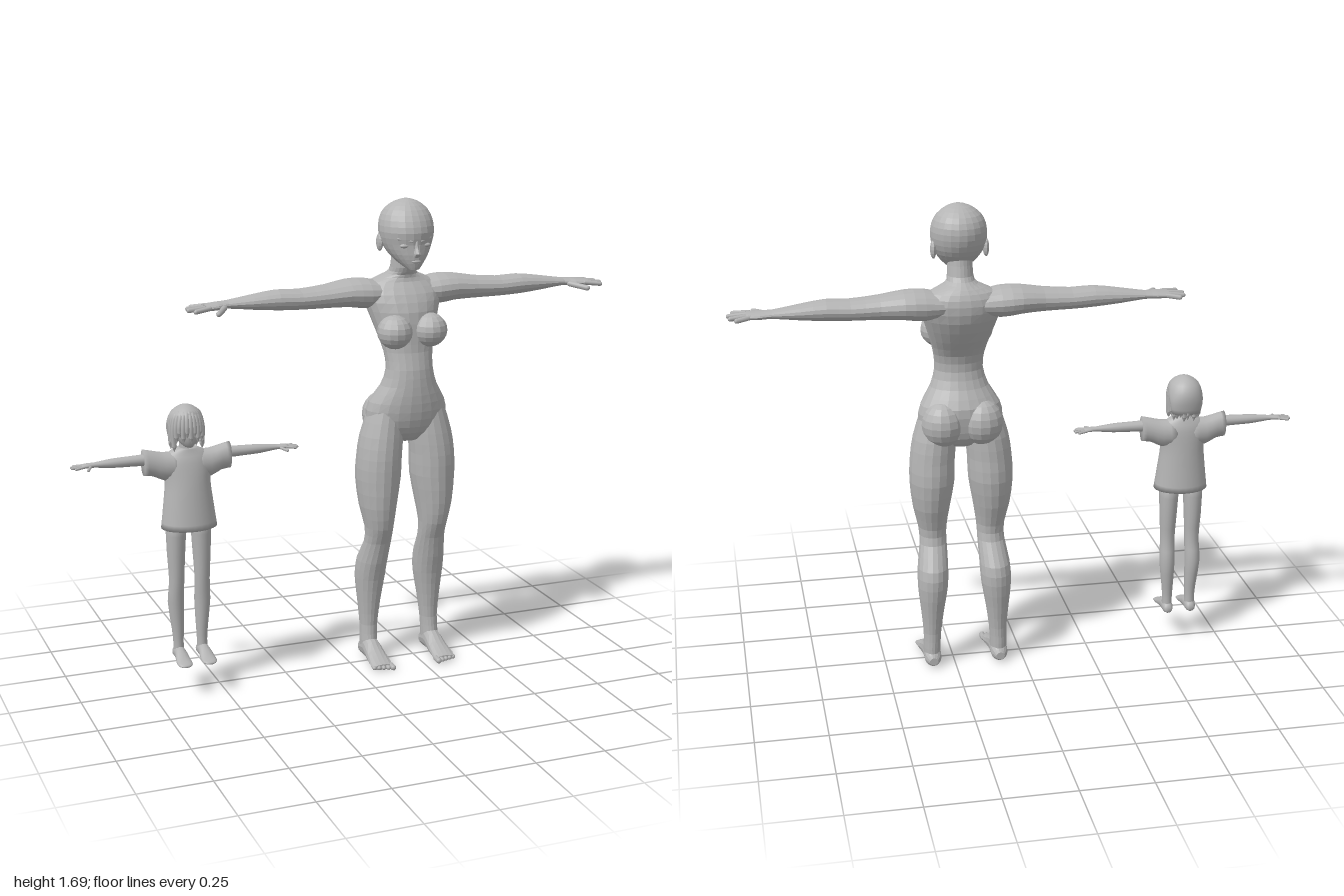
import * as THREE from 'three';

const grey = new THREE.MeshStandardMaterial({ color: 0xb4b4b4 });
grey.name = 'grey';

const mesh = (parent, name, geo) => {
  const m = new THREE.Mesh(geo, grey);
  m.name = name;
  parent.add(m);
  return m;
};

// smooth interpolation between section rows
function refine(rows, sub) {
  const out = [];
  for (let i = 0; i < rows.length - 1; i++) {
    const a = rows[Math.max(i - 1, 0)], b = rows[i], c = rows[i + 1], d = rows[Math.min(i + 2, rows.length - 1)];
    for (let k = 0; k < sub; k++) {
      const t = k / sub;
      out.push(b.map((v, n) => v + 0.5 * t * (c[n] - a[n] + t * (2 * a[n] - 5 * v + 4 * c[n] - d[n] + t * (3 * (v - c[n]) + d[n] - a[n])))));
    }
  }
  out.push(rows[rows.length - 1]);
  return out;
}

// closed loft along y through oval sections [y, centreX, halfWidth, zBack, zFront]
function loft(rows, seg = 18, sub = 2) {
  const rings = refine(rows, sub), pos = [], idx = [];
  for (const [y, cx, rx, zb, zf] of rings)
    for (let j = 0; j < seg; j++) {
      const a = (j / seg) * Math.PI * 2;
      pos.push(cx + rx * Math.cos(a), y, (zb + zf) / 2 + ((zf - zb) / 2) * Math.sin(a));
    }
  const last = rings.length - 1;
  for (let i = 0; i < last; i++)
    for (let j = 0; j < seg; j++) {
      const a = i * seg + j, b = i * seg + ((j + 1) % seg);
      idx.push(a, a + seg, b, b, a + seg, b + seg);
    }
  for (const r of [0, last]) {
    const [y, cx, , zb, zf] = rings[r], c = pos.length / 3;
    pos.push(cx, y, (zb + zf) / 2);
    for (let j = 0; j < seg; j++) {
      const a = r * seg + j, b = r * seg + ((j + 1) % seg);
      r ? idx.push(c, b, a) : idx.push(c, a, b);
    }
  }
  const g = new THREE.BufferGeometry();
  g.setAttribute('position', new THREE.Float32BufferAttribute(pos, 3));
  g.setIndex(idx);
  g.computeVertexNormals();
  return g;
}

const facet = (g) => { const f = g.toNonIndexed(); f.computeVertexNormals(); return f; };
const side = (rows, s) => rows.map(([y, cx, ...r]) => [y, cx * s, ...r]);
// loft along x: [x, centreY, halfHeight, zBack, zFront], s = side
const armLoft = (rows, s, seg) => loft(rows.map(([x, cy, ...r]) => [x, -s * cy, ...r]), seg).rotateZ(-s * Math.PI / 2);
// loft along z: [z, centreX, halfWidth, yBottom, yTop]
const footLoft = (rows, s, seg) => loft(rows.map(([z, cx, rx, yb, yt]) => [z, cx * s, rx, -yt, -yb]), seg).rotateX(Math.PI / 2);

function ball(x, y, z, rx, ry, rz, w = 14, h = 10) {
  return new THREE.SphereGeometry(1, w, h).scale(rx, ry, rz).translate(x, y, z);
}
// rounded digit between two points
function digit(p, q, r) {
  const a = new THREE.Vector3(...p), d = new THREE.Vector3(...q).sub(a);
  const g = new THREE.CapsuleGeometry(r, Math.max(d.length() - r, 0.001), 3, 7);
  g.applyQuaternion(new THREE.Quaternion().setFromUnitVectors(new THREE.Vector3(0, 1, 0), d.clone().normalize()));
  return g.translate(a.x + d.x / 2, a.y + d.y / 2, a.z + d.z / 2);
}

function adultFigure() {
  const g = new THREE.Group();
  g.name = 'adultFigure';
  mesh(g, 'torsoAndNeck', facet(loft([
    [0.835, 0, 0.05, -0.05, 0.05], [0.87, 0, 0.12, -0.075, 0.08], [0.92, 0, 0.15, -0.085, 0.098],
    [0.98, 0, 0.14, -0.085, 0.106], [1.04, 0, 0.103, -0.05, 0.106], [1.1, 0, 0.086, -0.03, 0.1],
    [1.16, 0, 0.09, -0.04, 0.085], [1.22, 0, 0.105, -0.08, 0.08], [1.3, 0, 0.13, -0.125, 0.072],
    [1.36, 0, 0.145, -0.135, 0.045], [1.4, 0, 0.115, -0.122, 0.015], [1.425, 0, 0.058, -0.1, 0.012],
    [1.45, 0, 0.045, -0.078, 0.025], [1.52, 0, 0.043, -0.065, 0.03]], 22)));
  mesh(g, 'head', facet(loft([
    [1.453, 0, 0.02, 0.045, 0.085], [1.475, 0, 0.045, -0.02, 0.092], [1.505, 0, 0.07, -0.065, 0.095],
    [1.54, 0, 0.088, -0.092, 0.094], [1.58, 0, 0.097, -0.106, 0.1], [1.62, 0, 0.093, -0.105, 0.088],
    [1.655, 0, 0.075, -0.085, 0.065], [1.68, 0, 0.042, -0.048, 0.035], [1.69, 0, 0.01, -0.015, 0.008]], 22)));
  mesh(g, 'nose', facet(loft([[1.497, 0, 0.012, 0.08, 0.1], [1.51, 0, 0.012, 0.08, 0.113],
    [1.53, 0, 0.008, 0.08, 0.102], [1.555, 0, 0.006, 0.08, 0.096]], 8, 1)));
  mesh(g, 'lips', ball(0, 1.482, 0.088, 0.018, 0.006, 0.009));
  for (const s of [1, -1]) {
    mesh(g, 'eye', ball(s * 0.038, 1.537, 0.078, 0.019, 0.008, 0.011));
    mesh(g, 'brow', digit([s * 0.015, 1.552, 0.093], [s * 0.062, 1.562, 0.07], 0.005));
    mesh(g, 'ear', facet(ball(s * 0.09, 1.54, -0.025, 0.011, 0.032, 0.02, 8, 8)));
    mesh(g, 'chest', facet(ball(s * 0.066, 1.235, 0.06, 0.062, 0.06, 0.065)));
    mesh(g, 'seat', facet(ball(s * 0.07, 0.92, -0.042, 0.074, 0.082, 0.07)));
    mesh(g, 'arm', facet(armLoft([
      [0.04, 1.355, 0.035, -0.12, 0.01], [0.13, 1.358, 0.053, -0.135, 0.022], [0.2, 1.362, 0.049, -0.135, 0.018],
      [0.28, 1.357, 0.041, -0.115, 0.01], [0.38, 1.353, 0.036, -0.105, 0.004], [0.46, 1.356, 0.036, -0.1, 0],
      [0.55, 1.354, 0.026, -0.094, -0.01], [0.64, 1.352, 0.014, -0.083, -0.023], [0.68, 1.35, 0.014, -0.085, -0.008],
      [0.725, 1.349, 0.011, -0.082, 0]], s, 16)));
    // fingers fan out, thumb points forward
    [[0.765, -0.072, -0.09], [0.785, -0.052, -0.06], [0.79, -0.03, -0.026], [0.775, -0.009, 0.01]].forEach(([tip, z0, z1]) =>
      mesh(g, 'finger', digit([s * 0.71, 1.35, z0], [s * (tip - 0.004), 1.344, z1], 0.0085)));
    mesh(g, 'thumb', digit([s * 0.655, 1.347, -0.025], [s * 0.7, 1.338, 0.046], 0.01));
    mesh(g, 'leg', facet(loft(side([
      [0.03, 0.122, 0.03, -0.083, 0], [0.07, 0.122, 0.031, -0.083, 0], [0.13, 0.12, 0.032, -0.083, -0.008],
      [0.22, 0.118, 0.042, -0.095, 0], [0.31, 0.115, 0.054, -0.108, 0.015], [0.38, 0.112, 0.055, -0.1, 0.035],
      [0.46, 0.105, 0.049, -0.048, 0.055], [0.52, 0.105, 0.051, -0.045, 0.08], [0.6, 0.108, 0.066, -0.072, 0.095],
      [0.7, 0.105, 0.08, -0.09, 0.1], [0.78, 0.102, 0.08, -0.086, 0.1], [0.86, 0.093, 0.077, -0.08, 0.093],
      [0.95, 0.08, 0.062, -0.06, 0.08]], s))));
    mesh(g, 'foot', facet(footLoft([
      [-0.092, 0.122, 0.016, 0.012, 0.04], [-0.07, 0.122, 0.03, 0, 0.065], [-0.02, 0.122, 0.032, 0, 0.088],
      [0.04, 0.122, 0.037, 0, 0.055], [0.085, 0.123, 0.041, 0, 0.034], [0.11, 0.123, 0.038, 0.002, 0.022]], s, 14)));
    for (let i = 0; i < 5; i++)
      mesh(g, 'toe', digit([s * (0.091 + i * 0.016), 0.012, 0.09], [s * (0.09 + i * 0.0165), 0.011, 0.13 - i * 0.005], i ? 0.008 : 0.011));
  }
  return g;
}

function childFigure() {
  const g = new THREE.Group();
  g.name = 'childFigure';
  mesh(g, 'shirt', loft([
    [0.6, 0, 0.098, -0.065, 0.088], [0.68, 0, 0.088, -0.058, 0.076], [0.76, 0, 0.08, -0.052, 0.062],
    [0.83, 0, 0.085, -0.046, 0.045], [0.862, 0, 0.068, -0.036, 0.032], [0.88, 0, 0.035, -0.028, 0.026]], 24, 3));
  mesh(g, 'neck', new THREE.CylinderGeometry(0.022, 0.026, 0.08, 14).translate(0, 0.89, 0));
  mesh(g, 'head', loft([
    [0.89, 0, 0.015, 0.01, 0.05], [0.91, 0, 0.036, -0.03, 0.06], [0.94, 0, 0.05, -0.055, 0.062],
    [0.98, 0, 0.055, -0.062, 0.064], [1.01, 0, 0.042, -0.045, 0.045], [1.022, 0, 0.01, -0.01, 0.01]], 20));
  // bobbed hair: crown cap and a ring of strands, shorter over the face
  mesh(g, 'hairCap', loft([[0.9, 0, 0.052, -0.062, -0.005], [0.94, 0, 0.06, -0.07, 0.005], [0.975, 0, 0.061, -0.07, 0.05],
    [1.005, 0, 0.05, -0.055, 0.056], [1.024, 0, 0.025, -0.028, 0.03], [1.03, 0, 0.006, -0.006, 0.008]], 22));
  const n = 26;
  for (let i = 0; i < n; i++) {
    const a = (i / n) * Math.PI * 2, c = Math.cos(a), sn = Math.sin(a);
    const end = c > 0.55 ? 0.925 + 0.018 * (i % 2) : 0.89 + 0.008 * (i % 3);
    const at = (r, y) => new THREE.Vector3(sn * r * 0.9, y, c * r + 0.004);
    const curve = new THREE.CatmullRomCurve3([at(0.012, 1.019), at(0.045, 1.002), at(0.06, 0.962), at(0.059, end)]);
    mesh(g, 'hairStrand', new THREE.TubeGeometry(curve, 8, 0.009, 6));
    mesh(g, 'hairTip', new THREE.ConeGeometry(0.009, 0.02, 6).rotateX(Math.PI).translate(sn * 0.053, end - 0.009, c * 0.059 + 0.004));
  }
  for (const s of [1, -1]) {
    mesh(g, 'sleeve', armLoft([[0.03, 0.818, 0.05, -0.044, 0.04], [0.08, 0.818, 0.05, -0.042, 0.038],
      [0.12, 0.832, 0.045, -0.036, 0.034], [0.153, 0.838, 0.047, -0.032, 0.032]], s, 18));
    mesh(g, 'arm', armLoft([[0.12, 0.848, 0.021, -0.02, 0.022], [0.2, 0.848, 0.018, -0.018, 0.021],
      [0.26, 0.848, 0.016, -0.016, 0.019], [0.32, 0.848, 0.009, -0.01, 0.013], [0.345, 0.848, 0.008, -0.016, 0.018],
      [0.365, 0.847, 0.006, -0.016, 0.018]], s, 14));
    [-0.017, -0.006, 0.007, 0.018].forEach((z, k) =>
      mesh(g, 'finger', digit([s * 0.355, 0.847, z * 0.8], [s * (k % 3 ? 0.4 : 0.39), 0.844, z * 1.35], 0.0045)));
    mesh(g, 'thumb', digit([s * 0.335, 0.846, 0.01], [s * 0.352, 0.842, 0.045], 0.005));
    mesh(g, 'leg', loft(side([
      [0.13, 0.043, 0.019, -0.034, 0.012], [0.17, 0.043, 0.018, -0.032, 0.01], [0.22, 0.044, 0.021, -0.036, 0.012],
      [0.32, 0.048, 0.028, -0.046, 0.018], [0.4, 0.046, 0.026, -0.032, 0.028], [0.5, 0.046, 0.031, -0.04, 0.036],
      [0.63, 0.044, 0.037, -0.042, 0.045]], s), 16));
    mesh(g, 'foot', footLoft([
      [-0.042, 0.043, 0.012, 0.117, 0.138], [-0.025, 0.043, 0.02, 0.11, 0.155], [0.015, 0.043, 0.021, 0.11, 0.158],
      [0.06, 0.044, 0.027, 0.11, 0.133], [0.085, 0.044, 0.024, 0.11, 0.125], [0.096, 0.044, 0.012, 0.112, 0.119]], s, 14));
  }
  return g;
}

export function createModel() {
  const model = new THREE.Group();
  model.name = 'twoFigures';
  const adult = adultFigure(), child = childFigure();
  adult.position.x = 0.21;
  child.position.x = -0.6;
  model.add(adult, child);
  return model;
}
